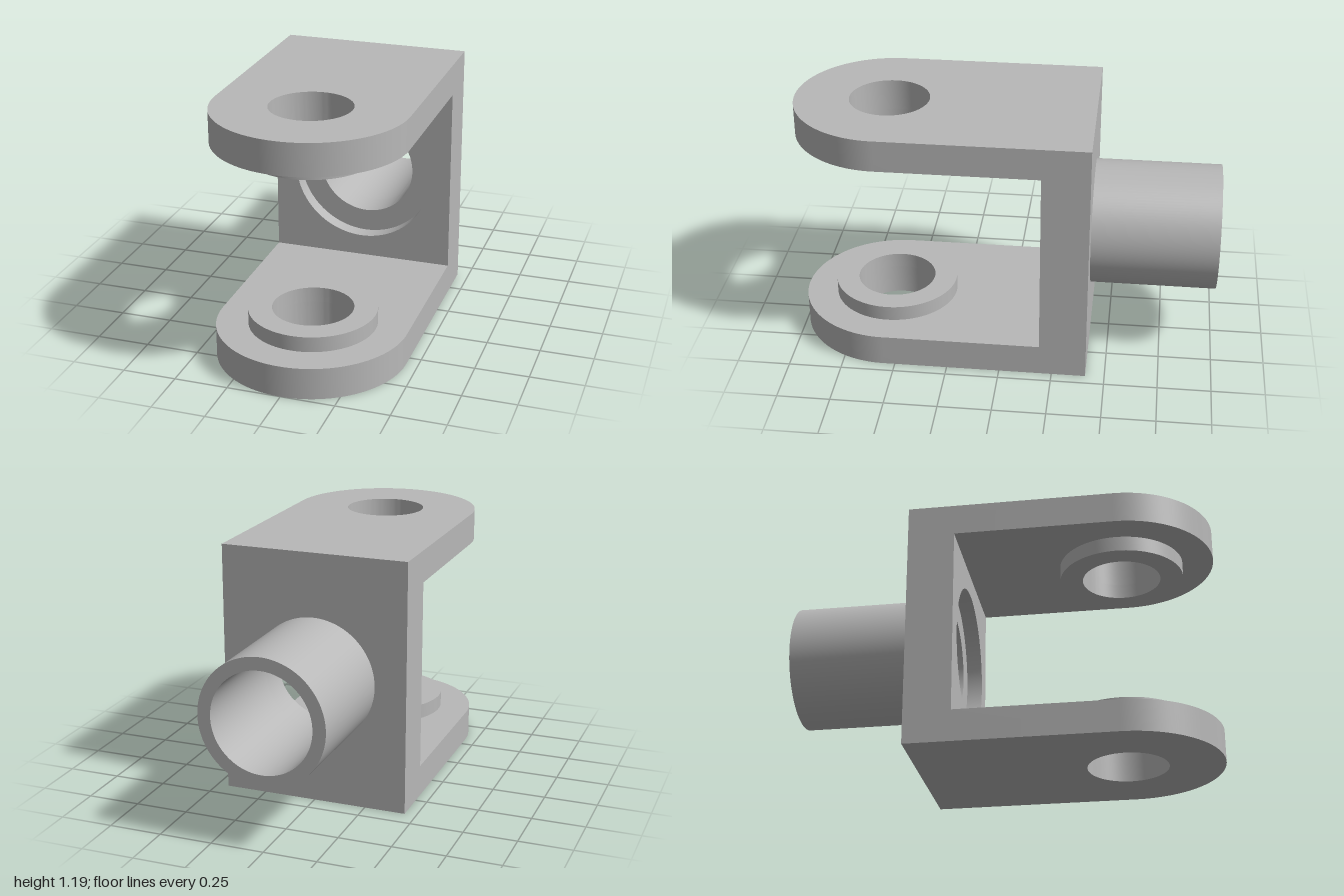
import * as THREE from 'three';
import { toCreasedNormals } from 'three/addons/utils/BufferGeometryUtils.js';

const HALF_W = 0.445, HEIGHT = 1.192, MID_Y = HEIGHT / 2;
const ARM_T = 0.15, BOSS_T = 0.073, PIVOT_Z = 0.555;
const BACK_Z = -0.41, INNER_Z = -0.19, RECESS_Z = -0.264, END_Z = -1;
const PIN_R = 0.188, BOSS_R = 0.297, BORE_R = 0.235, RECESS_R = 0.343, TUBE_R = 0.295;

// Cut a round hole into a shape
function withHole(shape, x, y, r) {
  const hole = new THREE.Path();
  hole.absarc(x, y, r, 0, Math.PI * 2, true);
  shape.holes.push(hole);
  return shape;
}

function ring(x, y, outer, inner) {
  const shape = new THREE.Shape();
  shape.absarc(x, y, outer, 0, Math.PI * 2, false);
  return withHole(shape, x, y, inner);
}

// Extrude with smooth round walls and sharp edges
function extrude(shape, depth) {
  const geometry = new THREE.ExtrudeGeometry(shape, { depth, bevelEnabled: false, curveSegments: 64 });
  return toCreasedNormals(geometry, 0.5);
}

// Standing part, between two z positions
const upright = (shape, z0, z1) => extrude(shape, z1 - z0).translate(0, 0, z0);

// Lying part, between two heights; shape y becomes z
const flat = (shape, y0, y1) => extrude(shape, y1 - y0).rotateX(Math.PI / 2).translate(0, y1, 0);

function armShape() {
  const shape = new THREE.Shape();
  shape.moveTo(-HALF_W, INNER_Z);
  shape.lineTo(HALF_W, INNER_Z);
  shape.lineTo(HALF_W, PIVOT_Z);
  shape.absarc(0, PIVOT_Z, HALF_W, 0, Math.PI, false);
  shape.closePath();
  return withHole(shape, 0, PIVOT_Z, PIN_R);
}

function plateShape(holeRadius) {
  const shape = new THREE.Shape();
  shape.moveTo(-HALF_W, 0);
  shape.lineTo(HALF_W, 0);
  shape.lineTo(HALF_W, HEIGHT);
  shape.lineTo(-HALF_W, HEIGHT);
  shape.closePath();
  return withHole(shape, 0, MID_Y, holeRadius);
}

export function createModel() {
  const model = new THREE.Group();
  model.name = 'forkBracket';
  const metal = new THREE.MeshStandardMaterial({ color: 0xb8b8b8 });
  metal.name = 'grey metal';

  const add = (name, geometry) => {
    const mesh = new THREE.Mesh(geometry, metal);
    mesh.name = name;
    model.add(mesh);
  };

  // Back plate, with a wider recess on its inner side
  add('backPlate', upright(plateShape(BORE_R), BACK_Z, RECESS_Z));
  add('backPlateRecess', upright(plateShape(RECESS_R), RECESS_Z, INNER_Z));

  // Hollow stem behind the plate
  add('stemTube', upright(ring(0, MID_Y, TUBE_R, BORE_R), END_Z, BACK_Z));

  // Rounded fork arms, each with a raised boss facing inward
  const boss = ring(0, PIVOT_Z, BOSS_R, PIN_R);
  add('lowerArm', flat(armShape(), 0, ARM_T));
  add('lowerBoss', flat(boss, ARM_T, ARM_T + BOSS_T));
  add('upperArm', flat(armShape(), HEIGHT - ARM_T, HEIGHT));
  add('upperBoss', flat(boss, HEIGHT - ARM_T - BOSS_T, HEIGHT - ARM_T));

  return model;
}
